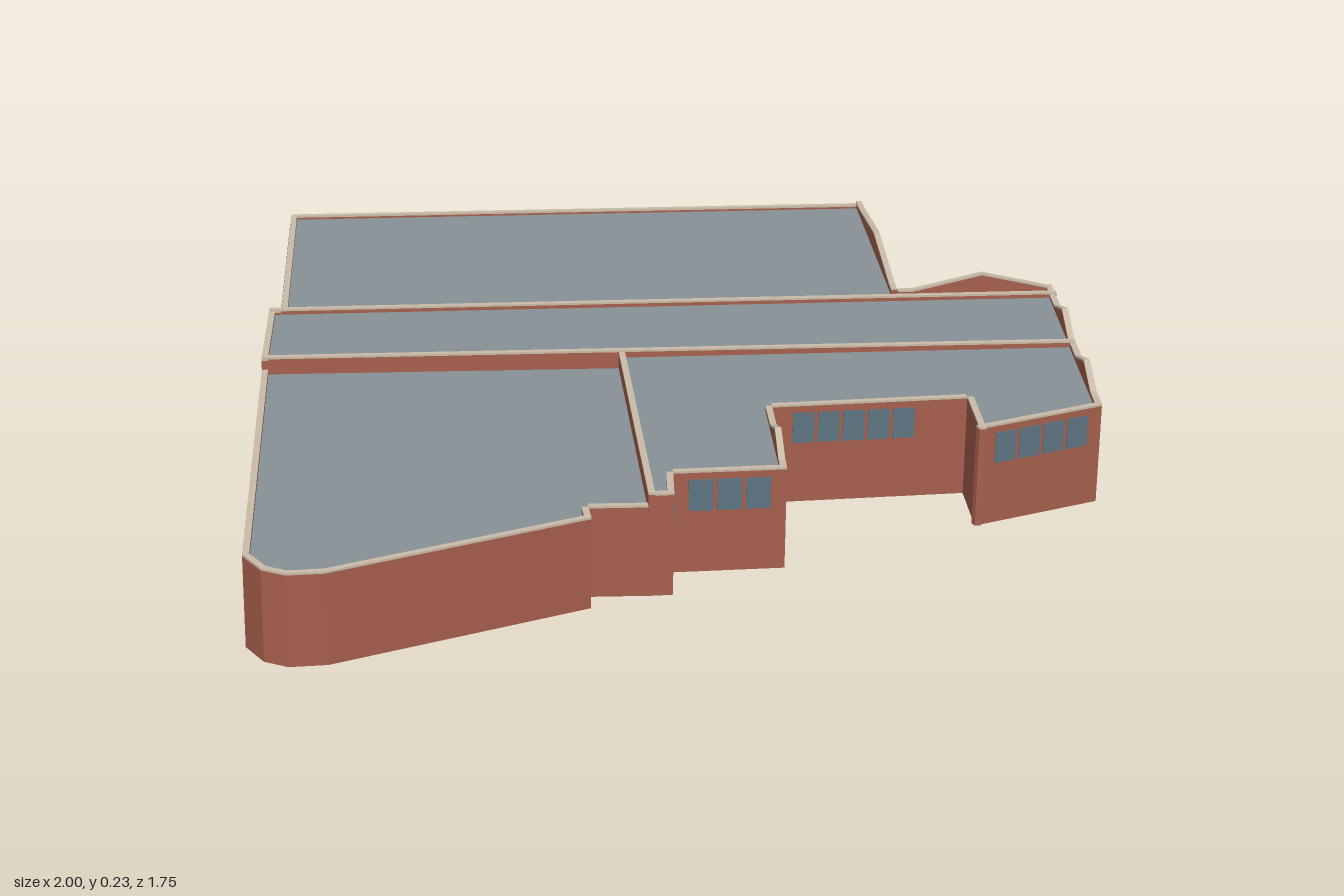
import * as THREE from 'three';

const mat = (color, extra = {}) => new THREE.MeshStandardMaterial({ color, ...extra });
const T = 0.012; // wall thickness
const COPE = 0.004; // coping height
const HIGH = 0.193, LOW = 0.171;

export function createModel() {
  const model = new THREE.Group();
  const brick = mat(0xa65f4c);
  const stone = mat(0xc9bba8);
  const glass = mat(0x5d7482);
  const roofing = mat(0x889196, { side: THREE.DoubleSide });
  const steel = mat(0x45454d);

  const add = (parent, name, geometry, material, x = 0, y = 0, z = 0) => {
    const mesh = new THREE.Mesh(geometry, material);
    mesh.name = name;
    mesh.position.set(x, y, z);
    parent.add(mesh);
    return mesh;
  };

  // Local frame: x runs from a to b, z points out of the building
  const frame = (name, a, b) => {
    const g = new THREE.Group();
    g.name = name;
    g.position.set(a[0], 0, a[1]);
    g.rotation.y = Math.atan2(a[1] - b[1], b[0] - a[0]);
    model.add(g);
    return g;
  };

  // Brick wall with optional small gables, stone coping and rows of windows
  const wall = (name, a, b, h, { gables = [], windows = [] } = {}) => {
    const L = Math.hypot(b[0] - a[0], b[1] - a[1]);
    const g = frame(name, a, b);
    const top = [[0, h]];
    for (const [t, half, rise] of gables) {
      top.push([t * L - half, h], [t * L, h + rise], [t * L + half, h]);
    }
    top.push([L, h]);
    const extrude = (pts) => {
      const shape = new THREE.Shape(pts.map((p) => new THREE.Vector2(p[0], p[1])));
      return new THREE.ExtrudeGeometry(shape, { depth: T, bevelEnabled: false }).translate(0, 0, -T);
    };
    add(g, 'brickwork', extrude([[0, 0], [L, 0], ...[...top].reverse()]), brick);
    const raised = top.map(([x, y]) => [x, y + COPE]).reverse();
    add(g, 'coping', extrude([...top, ...raised]), stone);

    for (const [t0, t1, n, y0, y1] of windows) {
      const pitch = ((t1 - t0) * L) / n;
      for (let i = 0; i < n; i++) {
        const pane = new THREE.BoxGeometry(pitch * 0.86, y1 - y0, 0.003);
        add(g, 'windowPane', pane, glass, t0 * L + (i + 0.5) * pitch, (y0 + y1) / 2, 0.0005);
      }
    }
    return g;
  };

  const roof = (name, y, pts) => {
    const shape = new THREE.Shape(pts.map(([x, z]) => new THREE.Vector2(x, -z)));
    add(model, name, new THREE.ShapeGeometry(shape).rotateX(-Math.PI / 2), roofing, 0, y, 0);
  };

  // Corners of the plan, as [x, z]
  const midW = [-0.58, -0.175], midN = [-0.44, -0.4], midE = [0.93, 0.385], midS = [0.78, 0.615];
  const split = [0.02, 0.18], splitEnd = [-0.305, 0.75];
  const east = [0.95, 0.35], notch = [0.675, 0.195];
  const hallE = [0.945, -0.265], hallN = [-0.125, -0.88], hallW = [-0.42, -0.388];
  const west = [midW, [-1, 0.53], [-1, 0.595], [-0.975, 0.635], [-0.915, 0.665],
    [-0.425, 0.73], [-0.405, 0.69], splitEnd];
  const south = [splitEnd, [-0.275, 0.765], [-0.225, 0.69], [-0.045, 0.785],
    [0.1, 0.545], [0.43, 0.71], [0.355, 0.835], [0.615, 0.875]];

  // West wing: plain, lower walls
  for (let i = 0; i < west.length - 1; i++) wall('westWingWall', west[i], west[i + 1], LOW);

  // South wing: high strip windows and gabled parapets
  const southDetails = [
    {},
    { windows: [[0.25, 0.85, 1, 0.12, 0.18]] },
    { windows: [[0.12, 0.88, 3, 0.12, 0.18]] },
    { gables: [[0.4, 0.08, 0.028]], windows: [[0.12, 0.68, 3, 0.12, 0.18]] },
    { windows: [[0.1, 0.74, 5, 0.12, 0.18]] },
    {},
    { windows: [[0.12, 0.9, 4, 0.12, 0.18]] },
  ];
  southDetails.forEach((d, i) => wall('southWingWall', south[i], south[i + 1], HIGH, d));
  wall('southEastWall', south[7], east, HIGH, {
    gables: [[0.24, 0.09, 0.028], [0.67, 0.09, 0.028]],
    windows: [[0.03, 0.47, 5, 0.12, 0.18], [0.52, 0.87, 4, 0.12, 0.18]],
  });

  // Entrance corner with two gabled walls
  wall('entranceWall', east, notch, HIGH, {
    gables: [[0.46, 0.14, 0.032]], windows: [[0.08, 0.92, 4, 0.14, 0.185]],
  });
  const side = wall('hallEastWall', notch, hallE, HIGH, {
    gables: [[0.49, 0.23, 0.026]], windows: [[0.02, 0.98, 7, 0.145, 0.185]],
  });
  add(side, 'ledge', new THREE.BoxGeometry(0.53, 0.01, 0.014), stone, 0.267, 0.134, 0.007);

  // North hall: two rows of windows
  wall('hallNorthWall', hallE, hallN, 0.188, {
    windows: [[0.025, 0.975, 12, 0.125, 0.182], [0.025, 0.975, 12, 0.045, 0.102]],
  });
  wall('hallWestWall', hallN, hallW, 0.188, {
    windows: [[0.05, 0.95, 8, 0.125, 0.182], [0.05, 0.95, 8, 0.045, 0.102]],
  });
  wall('hallStep', hallW, midN, HIGH);
  wall('middleWestWall', midN, midW, HIGH, {
    windows: [[0.08, 0.86, 3, 0.125, 0.182], [0.08, 0.34, 1, 0.045, 0.102]],
  });

  // Dividing walls whose parapets rise above the roofs
  wall('northDivider', midE, midN, HIGH + 0.003);
  wall('southDivider', midW, midS, HIGH + 0.003);
  wall('wingDivider', splitEnd, split, HIGH + 0.002);

  // Flat roofs
  roof('westRoof', LOW - 0.006, [...west, split]);
  roof('southRoof', HIGH - 0.006, [...south, midS, split]);
  roof('middleRoof', HIGH - 0.004, [midW, midS, midE, midN]);
  roof('hallRoof', 0.184, [midN, midE, east, notch, hallE, hallN, hallW]);

  // Entrance canopy on short posts
  const canopy = frame('canopy', [0.7, 0.203], [0.945, 0.342]);
  add(canopy, 'canopySlab', new THREE.BoxGeometry(0.284, 0.008, 0.108), steel, 0.141, 0.132, -0.055);
  for (const x of [0.02, 0.141, 0.262]) {
    add(canopy, 'canopyPost', new THREE.CylinderGeometry(0.004, 0.004, 0.075, 8), steel, x, 0.0925, -0.085);
  }
  add(canopy, 'canopyBeam', new THREE.BoxGeometry(0.27, 0.008, 0.008), steel, 0.141, 0.125, -0.085);

  return model;
}
